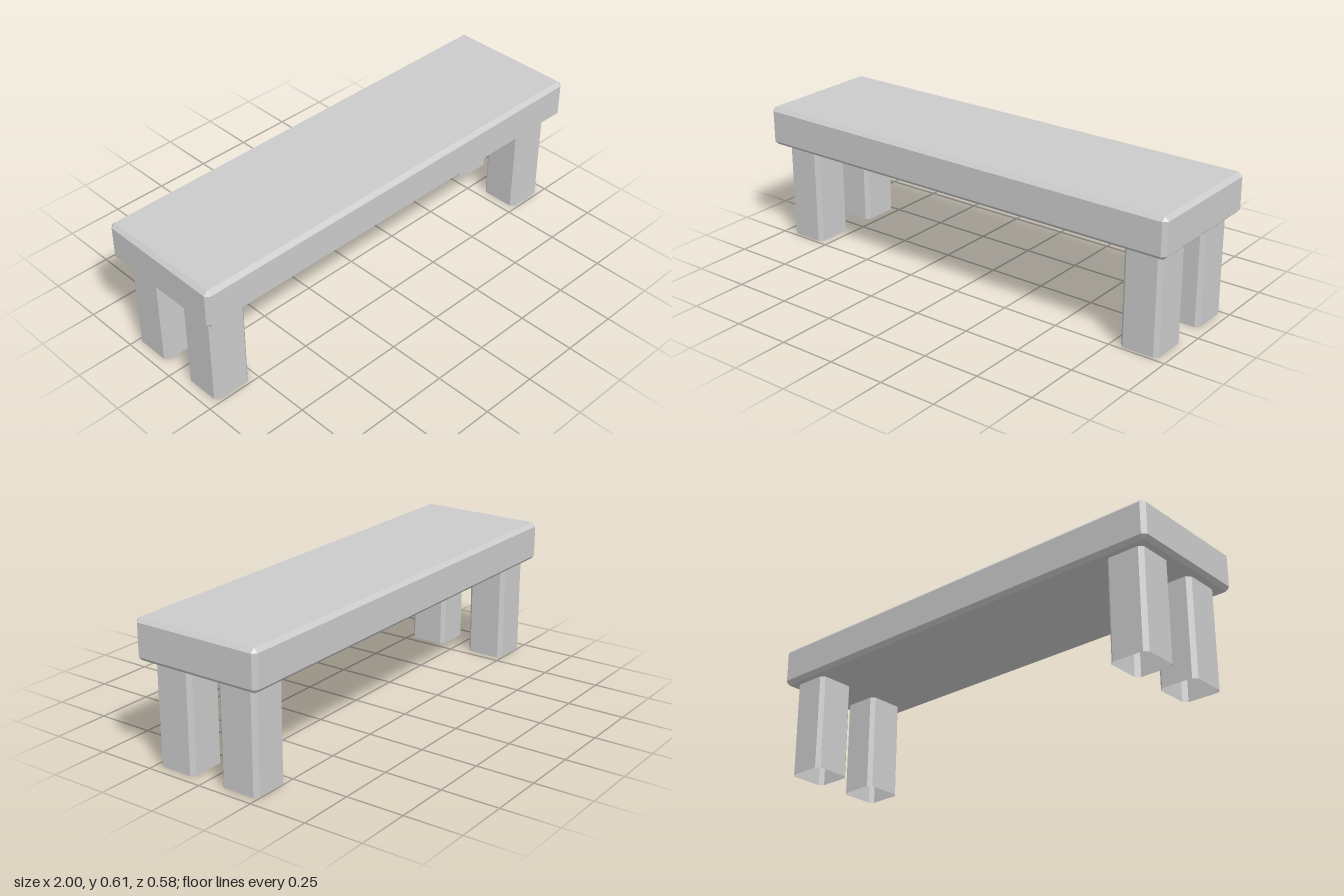
import * as THREE from 'three';
import { ConvexGeometry } from 'three/addons/geometries/ConvexGeometry.js';

const CHAMFER = 0.017;
const SEAT_BOTTOM = 0.433;
const SEAT_TOP = 0.605;

// Box with every edge cut by a flat chamfer
function chamferedBox(w, h, d, c) {
  const x = w / 2, y = h / 2, z = d / 2;
  const points = [];
  for (const sx of [-1, 1]) for (const sy of [-1, 1]) for (const sz of [-1, 1]) {
    points.push(
      new THREE.Vector3(sx * x, sy * (y - c), sz * (z - c)),
      new THREE.Vector3(sx * (x - c), sy * y, sz * (z - c)),
      new THREE.Vector3(sx * (x - c), sy * (y - c), sz * z)
    );
  }
  return new ConvexGeometry(points);
}

// Open-ended square post with chamfered upright edges
function chamferedPost(w, h, d, c) {
  const tube = new THREE.CylinderGeometry(1, 1, h, 8, 1, true, Math.PI / 8);
  const p = tube.attributes.position;
  for (let i = 0; i < p.count; i++) {
    const x = p.getX(i), z = p.getZ(i);
    const wide = Math.abs(x) > Math.abs(z);
    p.setX(i, Math.sign(x) * (wide ? w / 2 : w / 2 - c));
    p.setZ(i, Math.sign(z) * (wide ? d / 2 - c : d / 2));
  }
  const flat = tube.toNonIndexed();
  flat.computeVertexNormals();
  return flat;
}

export function createModel() {
  const bench = new THREE.Group();
  bench.name = 'bench';
  const material = new THREE.MeshStandardMaterial({ color: 0xcccccc, flatShading: true });
  const openMaterial = material.clone();
  openMaterial.side = THREE.DoubleSide;

  // Seat slab
  const seat = new THREE.Mesh(chamferedBox(2, SEAT_TOP - SEAT_BOTTOM, 0.58, CHAMFER), material);
  seat.name = 'seat';
  seat.position.y = (SEAT_TOP + SEAT_BOTTOM) / 2;
  bench.add(seat);

  // Four hollow legs, open at the foot
  const legGeometry = chamferedPost(0.17, SEAT_BOTTOM, 0.176, CHAMFER);
  for (const [side, x] of [['Right', -0.869], ['Left', 0.874]]) {
    for (const [end, z] of [['front', 0.15], ['back', -0.16]]) {
      const leg = new THREE.Mesh(legGeometry, openMaterial);
      leg.name = `${end}${side}Leg`;
      leg.position.set(x, SEAT_BOTTOM / 2, z);
      bench.add(leg);
    }
  }
  return bench;
}
